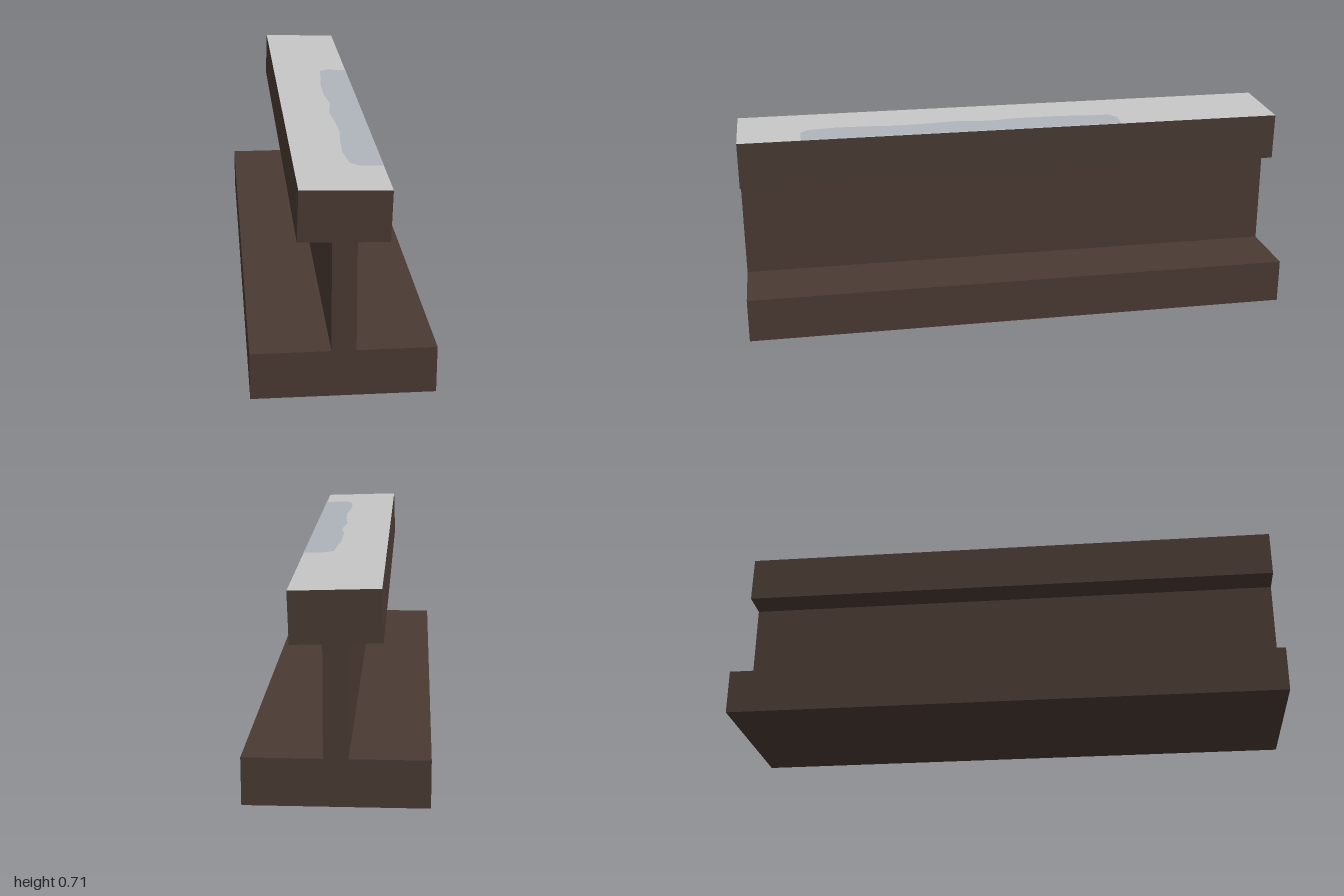
import * as THREE from 'three';

const rust = new THREE.MeshStandardMaterial({ color: 0x4a3a33 });
rust.name = 'rusty brown';
const polished = new THREE.MeshStandardMaterial({ color: 0xc6c6c6 });
polished.name = 'polished steel';
const worn = new THREE.MeshStandardMaterial({ color: 0xaeb4bb });
worn.name = 'worn blue grey';

const LENGTH = 2;

function bar(name, width, height, y, material = rust) {
  const mesh = new THREE.Mesh(new THREE.BoxGeometry(width, height, LENGTH), material);
  mesh.name = name;
  mesh.position.y = y;
  return mesh;
}

export function createModel() {
  const rail = new THREE.Group();
  rail.name = 'rail';

  // Foot and web
  rail.add(bar('foot', 0.6, 0.16, 0.08));
  rail.add(bar('web', 0.08, 0.373, 0.3465));

  // Slightly tilted head with a polished running surface
  const head = new THREE.Group();
  head.name = 'head';
  head.position.y = 0.617;
  head.rotation.z = -0.0315;
  const w = 0.291, h = 0.17;
  head.add(bar('headBlock', w, h, 0, [rust, rust, polished, rust, rust, rust]));

  // Worn patch along the left edge: wavy inner border as [x, z]
  const border = [
    [0.07, -0.4], [0.04, -0.38], [0.035, -0.29], [0.025, -0.18], [0.025, -0.03],
    [0.038, 0.08], [0.024, 0.2], [0.034, 0.32], [0.039, 0.43], [0.03, 0.53],
    [0.025, 0.64], [0.038, 0.75], [0.065, 0.775],
  ];
  const shape = new THREE.Shape();
  shape.moveTo(w / 2, 0.4);
  border.forEach(([x, z]) => shape.lineTo(x, -z));
  shape.lineTo(w / 2, -0.775);
  shape.closePath();
  const patchGeometry = new THREE.ShapeGeometry(shape);
  patchGeometry.rotateX(-Math.PI / 2);
  const patch = new THREE.Mesh(patchGeometry, worn);
  patch.name = 'wornPatch';
  patch.position.y = h / 2 + 0.0015;
  head.add(patch);

  rail.add(head);
  return rail;
}
